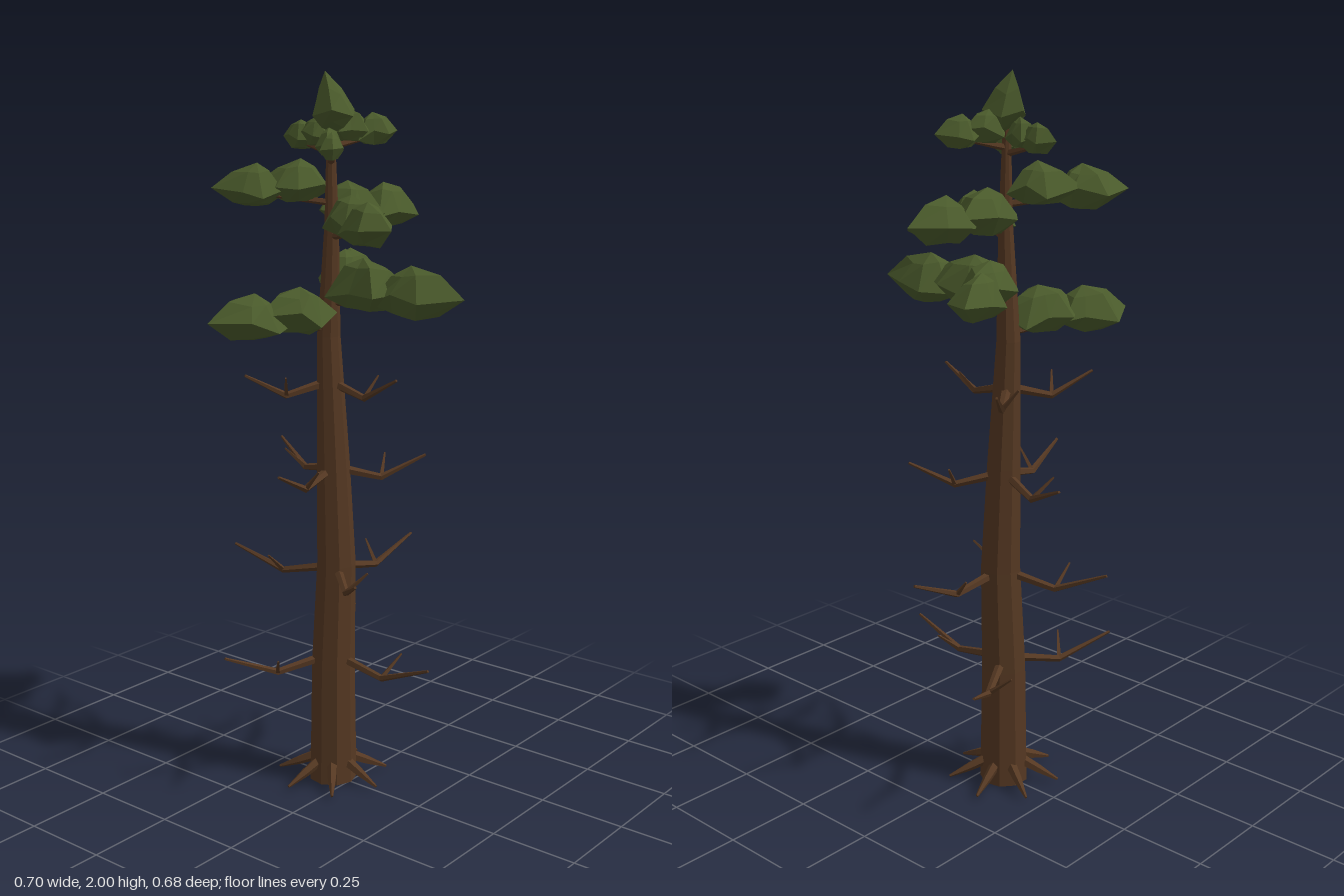
import * as THREE from 'three';

const V = (x, y, z) => new THREE.Vector3(x, y, z);
const bark = new THREE.MeshStandardMaterial({ color: 0x553822, flatShading: true });
const needles = new THREE.MeshStandardMaterial({ color: 0x4a5a2b, flatShading: true });

let seed = 7;
const jitter = (amount) => {
  seed = (seed * 16807) % 2147483647;
  return (seed / 2147483647 - 0.5) * 2 * amount;
};

// Skin a stack of rings, closed by a point at each end
function loft(rings, startPoint, endPoint) {
  const n = rings[0].length;
  const corners = [];
  for (let j = 0; j < n; j++) {
    const k = (j + 1) % n;
    corners.push(startPoint, rings[0][j], rings[0][k]);
    for (let i = 0; i < rings.length - 1; i++) {
      const [a, b, c, d] = [rings[i][j], rings[i][k], rings[i + 1][j], rings[i + 1][k]];
      corners.push(a, c, b, b, c, d);
    }
    const last = rings[rings.length - 1];
    corners.push(endPoint, last[k], last[j]);
  }
  const geometry = new THREE.BufferGeometry().setFromPoints(corners);
  geometry.computeVertexNormals();
  return geometry;
}

// Tapered limb through a few points
function limb(points, radii, sides) {
  const up = V(0, 1, 0);
  const rings = points.map((p, i) => {
    const before = points[Math.max(i - 1, 0)];
    const after = points[Math.min(i + 1, points.length - 1)];
    const turn = new THREE.Quaternion().setFromUnitVectors(up, after.clone().sub(before).normalize());
    return Array.from({ length: sides }, (_, j) => {
      const a = (j / sides) * Math.PI * 2;
      return V(Math.cos(a) * radii[i], 0, Math.sin(a) * radii[i]).applyQuaternion(turn).add(p);
    });
  });
  return loft(rings, points[0], points[points.length - 1]);
}

// Pointed needle clump lying along +x: outline as [along, across, height]
const outline = [[1, 0, 0], [0.66, 0.5, -0.12], [0.3, 0.38, 0], [0, 0.3, -0.2],
  [0, -0.22, -0.1], [0.27, -0.5, -0.15], [0.62, -0.42, 0]];

function clumpGeometry(length, width, height) {
  const rim = outline.map(([u, v, h], i) => {
    const j = i === 0 ? 0 : 1;
    return V(u + j * jitter(0.06), h + j * jitter(0.1), v + j * jitter(0.05));
  });
  const shrink = (s, y) => rim.map((p) => V(0.42 + (p.x - 0.42) * s, y + jitter(0.05), p.z * s));
  const geometry = loft([shrink(0.5, -0.38), rim, shrink(0.52, 0.38)], V(0.4, -0.42, 0), V(0.38, 0.56, 0));
  geometry.scale(length, height, width);
  geometry.computeVertexNormals();
  return geometry;
}

// Trunk centre line and radii
const trunkPoints = [V(-0.062, 0, 0), V(-0.061, 0.35, 0), V(-0.055, 0.65, -0.008), V(-0.063, 0.95, -0.005),
  V(-0.073, 1.3, 0), V(-0.058, 1.6, 0.004), V(-0.06, 1.88, 0.004)];
const trunkRadii = [0.069, 0.063, 0.056, 0.047, 0.033, 0.02, 0.01];

function trunkAt(y) {
  let i = 0;
  while (i < trunkPoints.length - 2 && trunkPoints[i + 1].y < y) i++;
  const [a, b] = [trunkPoints[i], trunkPoints[i + 1]];
  return a.clone().lerp(b, (y - a.y) / (b.y - a.y));
}

export function createModel() {
  const tree = new THREE.Group();
  tree.name = 'pineTree';
  const add = (parent, name, geometry, material) => {
    const mesh = new THREE.Mesh(geometry, material);
    mesh.name = name;
    parent.add(mesh);
    return mesh;
  };
  const group = (name) => {
    const g = new THREE.Group();
    g.name = name;
    tree.add(g);
    return g;
  };

  add(tree, 'trunk', limb(trunkPoints, trunkRadii, 9), bark);

  // Seven spiky roots around the foot
  const roots = group('roots');
  for (let i = 0; i < 7; i++) {
    const a = (i / 7) * Math.PI * 2;
    const at = (r, y) => V(-0.062 + Math.cos(a) * r, y, Math.sin(a) * r);
    add(roots, 'root', limb([at(0.04, 0.065), at(0.1, 0.038), at(0.16, 0.012)], [0.017, 0.013, 0.004], 5), bark);
  }

  // Bare branches in four tiers of three: branch tips, each with a side twig
  const bareTips = [
    [0.275, 0.41, 0], [-0.22, 0.41, 0.28], [-0.22, 0.41, -0.3],
    [-0.35, 0.675, 0.09], [0.165, 0.675, 0.18], [-0.015, 0.675, -0.31],
    [-0.335, 0.96, -0.1], [0.125, 0.96, -0.185], [-0.03, 0.96, 0.26],
    [0.16, 1.203, 0], [-0.2, 1.203, 0.2], [-0.2, 1.203, -0.19],
  ];
  const bare = group('bareBranches');
  for (const [x, y, z] of bareTips) {
    const tip = V(x, y, z);
    const start = trunkAt(y - 0.03);
    const elbow = start.clone().lerp(tip, 0.52).setY(y - 0.062);
    const out = V(x - start.x, 0, z - start.z);
    const twigTip = elbow.clone().addScaledVector(out, 0.06).add(V(out.z * 0.2, 0.058, -out.x * 0.2));
    add(bare, 'branch', limb([start, elbow, tip], [0.014, 0.01, 0.004], 5), bark);
    add(bare, 'twig', limb([elbow, twigTip], [0.008, 0.003], 4), bark);
  }

  // Needle pads: tip position and width of each
  const pads = [
    [0.35, 1.43, -0.035, 0.155], [-0.205, 1.36, 0.335, 0.17], [-0.2, 1.45, -0.308, 0.125],
    [0.232, 1.61, 0.12, 0.13], [-0.04, 1.635, -0.34, 0.155], [-0.29, 1.7, 0.222, 0.145],
    [-0.225, 1.83, 0.005, 0.07], [0.025, 1.845, -0.175, 0.08], [0.035, 1.805, 0.11, 0.065],
  ];
  const foliage = group('foliage');
  for (const [x, y, z, width] of pads) {
    const start = trunkAt(y);
    const [dx, dz] = [x - start.x, z - start.z];
    const length = Math.hypot(dx, dz);
    const height = 0.04 + length * 0.24;
    const pad = new THREE.Group();
    pad.name = 'needlePad';
    pad.position.copy(start);
    pad.rotation.y = -Math.atan2(dz, dx);
    foliage.add(pad);
    add(pad, 'padBranch', limb([V(0, -0.04, 0), V(length * 0.6, -0.015, 0)], [0.01, 0.005], 5), bark);
    add(pad, 'outerClump', clumpGeometry(length * 0.62, width, height), needles).position.x = length * 0.38;
    const inner = add(pad, 'innerClump', clumpGeometry(length * 0.6, width * 1.05, height), needles);
    inner.position.set(length * 0.03, 0.01, 0);
    inner.rotation.y = jitter(0.3);
  }

  // Pointed crown on top
  const crownRing = (y, r, cx) => Array.from({ length: 6 }, (_, i) => {
    const a = (i / 6) * Math.PI * 2;
    return V(cx + Math.cos(a) * r * 1.2, y + (i % 2) * 0.016, Math.sin(a) * r);
  });
  add(tree, 'crown', loft([crownRing(1.855, 0.03, -0.055), crownRing(1.885, 0.055, -0.053),
    crownRing(1.94, 0.031, -0.066)], V(-0.055, 1.84, 0), V(-0.078, 2, 0.005)), needles);

  return tree;
}
